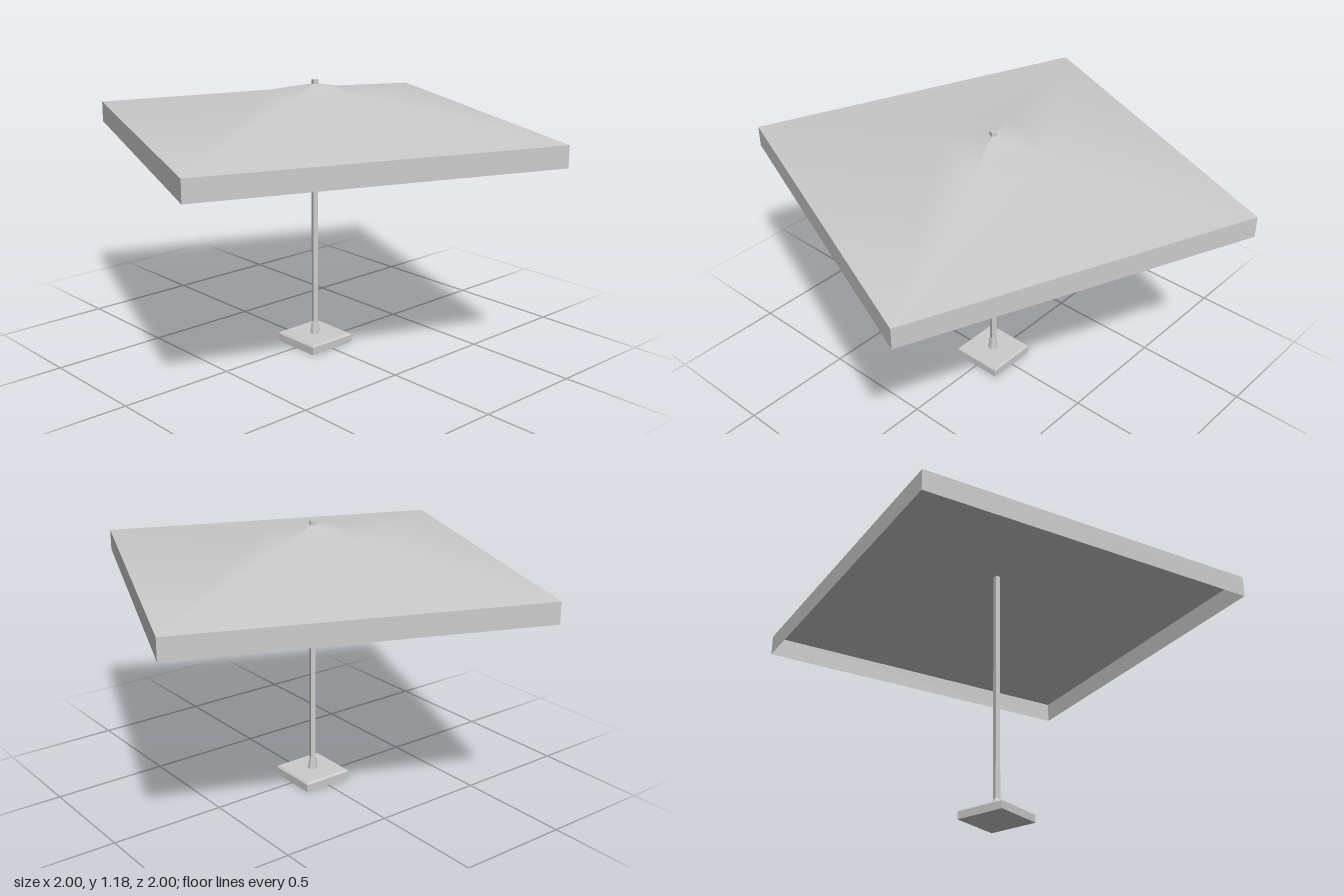
import * as THREE from 'three';

const TURN = 0.4;                    // canopy and pole are turned about the vertical
const REACH = 1 / Math.cos(TURN);    // centre to canopy corner

function createMesh(name, geometry, options = {}) {
  const material = new THREE.MeshStandardMaterial({ color: 0xcccccc, ...options });
  const mesh = new THREE.Mesh(geometry, material);
  mesh.name = name;
  return mesh;
}

// Flat-sided prism or frustum standing between two heights
function prism(name, sides, rBottom, rTop, y0, y1, turn) {
  const geometry = new THREE.CylinderGeometry(rTop, rBottom, y1 - y0, sides);
  geometry.rotateY(turn).translate(0, (y0 + y1) / 2, 0);
  return createMesh(name, geometry, { flatShading: true });
}

export function createModel() {
  const model = new THREE.Group();
  model.name = 'parasol';

  // Square foot with a small chamfer on its upper edge
  const base = new THREE.Group();
  base.name = 'base';
  const halfDiagonal = 0.115 * Math.SQRT2;
  base.add(prism('baseSlab', 4, halfDiagonal, halfDiagonal, 0, 0.034, Math.PI / 4));
  base.add(prism('baseChamfer', 4, halfDiagonal, halfDiagonal - 0.009, 0.034, 0.042, Math.PI / 4));
  base.add(prism('poleSocket', 8, 0.023, 0.016, 0.042, 0.095, Math.PI / 8));
  model.add(base);

  // Square pole, its tip showing above the canopy
  model.add(prism('pole', 4, 0.0155, 0.0155, 0.042, 1.18, TURN));

  // Four-sided canopy, steeper near the peak, with softly shaded ridges
  const canopy = new THREE.Group();
  canopy.name = 'canopy';
  const profile = [[REACH, 1], [0.2 * REACH, 1.12], [0, 1.165]]
    .map(([r, y]) => new THREE.Vector2(r, y));
  canopy.add(createMesh('canopyTop', new THREE.LatheGeometry(profile, 4), { side: THREE.DoubleSide }));

  // Hanging border around the canopy
  const border = new THREE.CylinderGeometry(REACH, REACH, 0.092, 4, 1, true);
  border.translate(0, 0.954, 0);
  canopy.add(createMesh('valance', border, { side: THREE.DoubleSide, flatShading: true }));
  canopy.rotation.y = TURN;
  model.add(canopy);

  return model;
}
